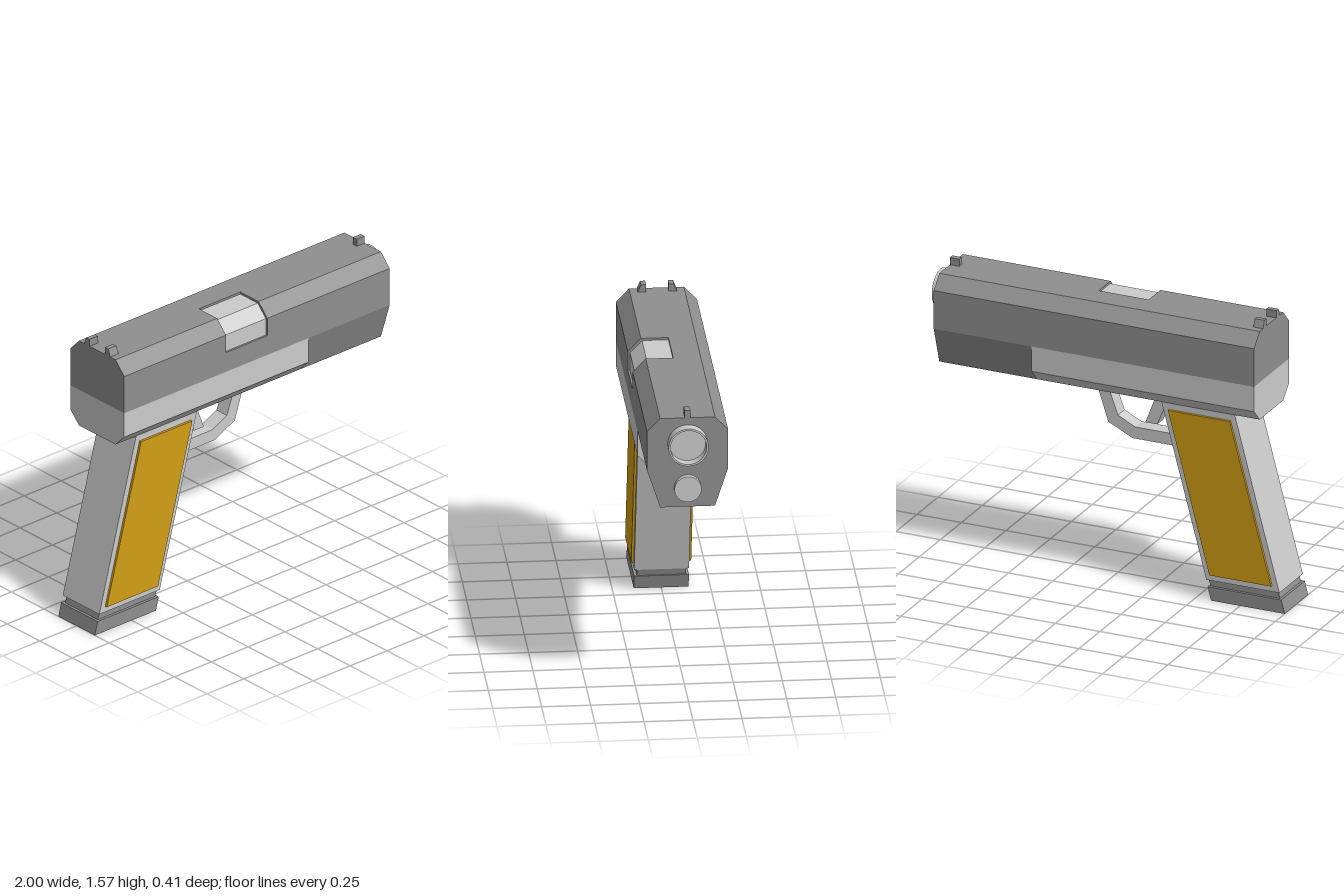
import * as THREE from 'three';

const light = new THREE.MeshStandardMaterial({ color: 0xcccccc });
const dark = new THREE.MeshStandardMaterial({ color: 0x8f8f8f });
const amber = new THREE.MeshStandardMaterial({ color: 0xd19e15 });

const outline = (pts) => new THREE.Shape(pts.map(([a, b]) => new THREE.Vector2(a, b)));

// Side profile in (x, y), extruded symmetrically across z
function sidePart(name, pts, halfWidth, material, z = 0) {
  const geo = new THREE.ExtrudeGeometry(outline(pts), { depth: halfWidth * 2, bevelEnabled: false });
  geo.translate(0, 0, z - halfWidth);
  const mesh = new THREE.Mesh(geo, material);
  mesh.name = name;
  return mesh;
}

// Cross-section in (z, y), extruded along x from x0 to x1
function lengthPart(name, pts, x0, x1, material) {
  const geo = new THREE.ExtrudeGeometry(outline(pts.map(([z, y]) => [-z, y])), { depth: x1 - x0, bevelEnabled: false });
  geo.rotateY(Math.PI / 2);
  geo.translate(x0, 0, 0);
  const mesh = new THREE.Mesh(geo, material);
  mesh.name = name;
  return mesh;
}

// Adds the mirrored half to a +z half section
const mirrored = (half) => [...half, ...half.map(([z, y]) => [-z, y]).reverse()];

export function createModel() {
  const model = new THREE.Group();
  const back = -0.86, front = 0.94, step = 0.39;
  const portBack = -0.17, portFront = 0.11;

  // Slide: chamfered upper body with a shallow port cut in the middle
  const slide = new THREE.Group();
  slide.name = 'slide';
  const upper = mirrored([[0.14, 1.53], [0.207, 1.46], [0.207, 1.25]]);
  const cut = [
    [0, 1.53], [0, 1.48], [0.12, 1.48], [0.16, 1.44], [0.16, 1.36], [0.207, 1.36], [0.207, 1.25],
    [-0.207, 1.25], [-0.207, 1.46], [-0.14, 1.53],
  ];
  slide.add(
    lengthPart('slideRear', upper, back, portBack, dark),
    lengthPart('slideMiddle', cut, portBack, portFront, dark),
    lengthPart('slideFront', upper, portFront, front, dark),
    lengthPart('slideNose', mirrored([[0.207, 1.25], [0.14, 1.045]]), step, front, dark),
  );
  model.add(slide);

  // Ejection port cover, set slightly below the slide surface
  model.add(lengthPart('ejectionPort', [
    [0, 1.48], [0, 1.518], [0.134, 1.518], [0.196, 1.454], [0.196, 1.36], [0.16, 1.36], [0.16, 1.44], [0.12, 1.48],
  ], portBack, portFront, light));

  // Frame under the rear of the slide
  model.add(lengthPart('frame', mirrored([[0.207, 1.25], [0.207, 1.113], [0.14, 1.045]]), back, step, light));

  // Sights: one post at the front, two slanted posts at the rear
  const post = [[-0.015, 1.53], [0.015, 1.53], [0.015, 1.57], [-0.015, 1.57]];
  model.add(lengthPart('frontSight', post, 0.887, front, dark));
  for (const s of [1, -1]) {
    const notch = [[0.058, 1.53], [0.1, 1.53], [0.084, 1.57], [0.058, 1.57]].map(([z, y]) => [s * z, y]);
    model.add(lengthPart(s > 0 ? 'rearSightLeft' : 'rearSightRight', notch, back, -0.805, dark));
  }

  // Hollow muzzle; separate lathes keep its rims sharp
  const muzzle = new THREE.Group();
  muzzle.name = 'muzzle';
  const rings = [
    [[0.102, 0], [0.102, 0.06]],
    [[0.102, 0.06], [0.092, 0.06]],
    [[0.092, 0.06], [0.092, 0.004]],
    [[0.092, 0.004], [0, 0.004]],
  ];
  for (const ring of rings) {
    const geo = new THREE.LatheGeometry(ring.map(([r, h]) => new THREE.Vector2(r, h)), 40);
    const mesh = new THREE.Mesh(geo, light);
    mesh.name = 'muzzleSurface';
    muzzle.add(mesh);
  }
  muzzle.rotation.z = -Math.PI / 2;
  muzzle.position.set(front, 1.39, 0);
  model.add(muzzle);

  // Solid guide rod end below the muzzle
  const rod = new THREE.Mesh(new THREE.CylinderGeometry(0.069, 0.069, 0.04, 40), light);
  rod.name = 'guideRod';
  rod.rotation.z = -Math.PI / 2;
  rod.position.set(front + 0.01, 1.15, 0);
  model.add(rod);

  // Slanted grip with raised side panels
  model.add(sidePart('grip', [[-0.97, 0.11], [-0.56, 0.11], [-0.308, 1.045], [-0.72, 1.045]], 0.14, light));
  const panel = [[-0.93, 0.143], [-0.583, 0.143], [-0.35, 1.01], [-0.697, 1.01]];
  for (const s of [1, -1]) {
    model.add(sidePart(s > 0 ? 'gripPanelLeft' : 'gripPanelRight', panel, 0.0115, amber, s * 0.1415));
  }

  // Magazine neck and foot plate
  model.add(sidePart('magazineNeck', [[-0.967, 0.073], [-0.576, 0.073], [-0.566, 0.11], [-0.957, 0.11]], 0.125, dark));
  model.add(sidePart('magazineFoot', [[-1, 0], [-0.586, 0], [-0.567, 0.073], [-0.981, 0.073]], 0.14, dark));

  // Trigger and its guard
  model.add(sidePart('triggerGuard', [
    [-0.4, 0.77], [-0.098, 0.77], [0.038, 0.836], [0.108, 1.05],
    [0.044, 1.05], [-0.016, 0.882], [-0.113, 0.834], [-0.4, 0.834],
  ], 0.04, light));
  model.add(sidePart('trigger', [[-0.235, 0.868], [-0.168, 0.868], [-0.238, 1.05], [-0.309, 1.05]], 0.035, light));

  return model;
}
